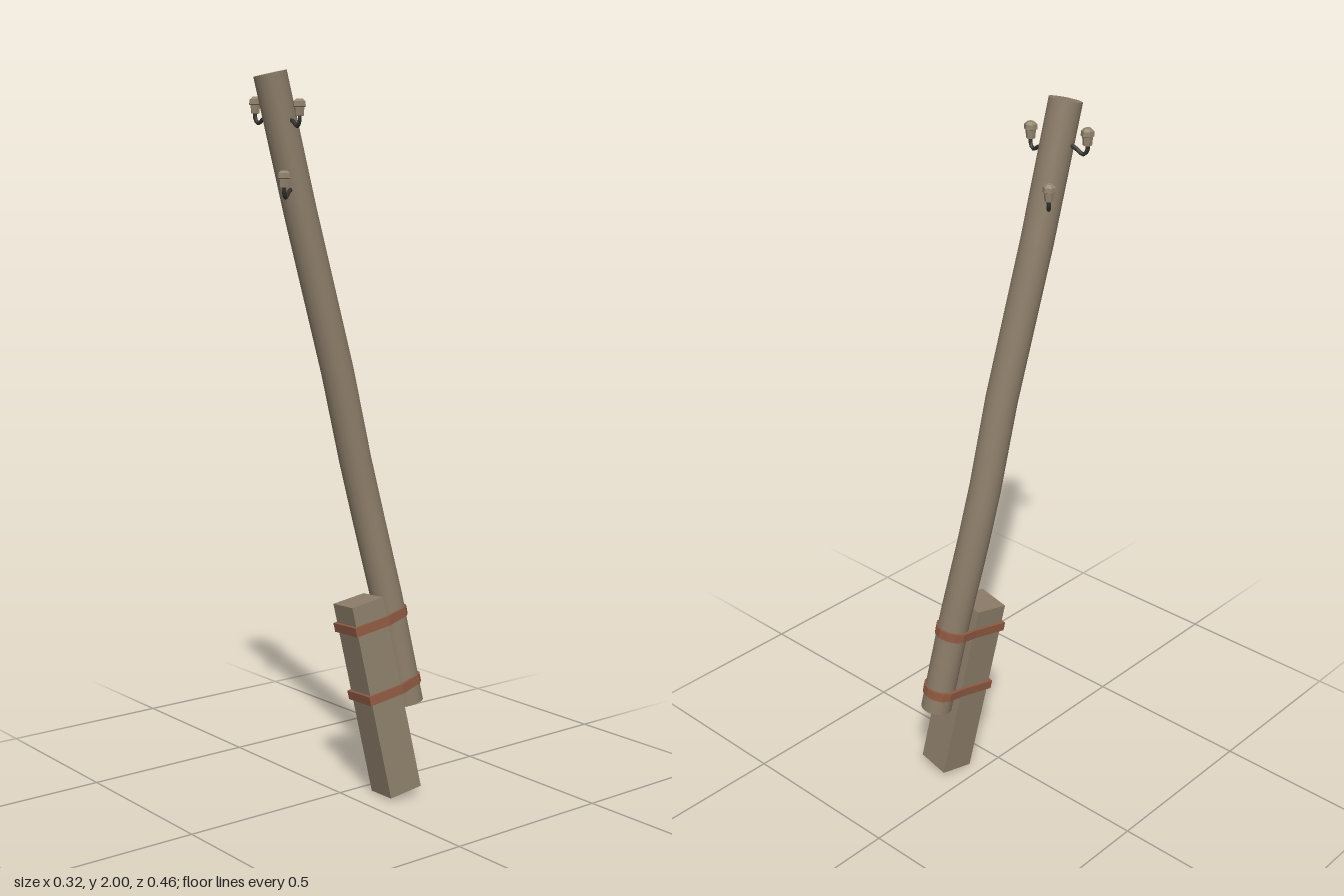
import * as THREE from 'three';

const mat = (name, color) => {
  const m = new THREE.MeshStandardMaterial({ color });
  m.name = name;
  return m;
};
const V = (x, y, z) => new THREE.Vector3(x, y, z);

// Leaning pole, bottom to top
const PATH = [
  V(0.075, 0.25, -0.185), V(0.04, 0.56, -0.134), V(0.012, 0.78, -0.092), V(-0.002, 0.95, -0.055),
  V(-0.012, 1.2, 0), V(-0.045, 1.63, 0.1), V(-0.062, 1.99, 0.185),
];
const POLE_R = 0.044;

// Cylinder whose rings follow the path, each ring square to the local direction
function poleGeometry() {
  const n = PATH.length - 1;
  const geo = new THREE.CylinderGeometry(POLE_R, POLE_R, 1, 18, n);
  const pos = geo.attributes.position, nor = geo.attributes.normal;
  for (let i = 0; i < pos.count; i++) {
    const k = Math.round((pos.getY(i) + 0.5) * n);
    const t = PATH[Math.min(k + 1, n)].clone().sub(PATH[Math.max(k - 1, 0)]).normalize();
    const o = V(pos.getX(i), 0, pos.getZ(i));
    o.y = -(o.x * t.x + o.z * t.z) / t.y;
    const p = PATH[k].clone().add(o);
    pos.setXYZ(i, p.x, p.y, p.z);
    const cap = nor.getY(i);
    const d = Math.abs(cap) > 0.5 ? t.multiplyScalar(cap) : o.normalize();
    nor.setXYZ(i, d.x, d.y, d.z);
  }
  return geo;
}

// Strap outline wrapping the square post and the back of the pole
function strapPoints(half, gap) {
  const h = half + gap, r = POLE_R + gap;
  const pts = [new THREE.Vector2(-h, -half), new THREE.Vector2(-h, h), new THREE.Vector2(h, h), new THREE.Vector2(h, -half)];
  for (let i = 0; i <= 6; i++) {
    const a = -0.1 - (i / 6) * (Math.PI - 0.2);
    pts.push(new THREE.Vector2(-0.013 + r * Math.cos(a), -0.097 + r * Math.sin(a)));
  }
  return pts;
}

export function createModel() {
  const model = new THREE.Group();
  const wood = mat('weathered wood', 0x8c7d69);
  const rust = mat('rusty strap', 0x8f5a43);
  const iron = mat('dark iron', 0x35332e);
  const clay = mat('insulator ceramic', 0x94866f);
  const add = (parent, name, geo, material) => {
    const m = new THREE.Mesh(geo, material);
    m.name = name;
    parent.add(m);
    return m;
  };

  add(model, 'pole', poleGeometry(), wood);

  // Square ground post with two straps, tilted along the pole
  const foot = V(0.0985, 0.013, -0.125), head = V(0.038, 0.56, -0.034);
  const axis = head.clone().sub(foot);
  const length = axis.length(), half = 0.051;
  const base = new THREE.Group();
  base.name = 'groundPost';
  base.position.copy(foot);
  base.quaternion.setFromUnitVectors(V(0, 1, 0), axis.normalize())
    .multiply(new THREE.Quaternion().setFromAxisAngle(V(0, 1, 0), -0.12));
  model.add(base);
  add(base, 'post', new THREE.BoxGeometry(half * 2, length, half * 2).translate(0, length / 2, 0), wood);

  for (const y of [0.29, 0.49]) {
    const shape = new THREE.Shape(strapPoints(half, 0.008));
    shape.holes.push(new THREE.Path(strapPoints(half, -0.001)));
    const geo = new THREE.ExtrudeGeometry(shape, { depth: 0.026, bevelEnabled: false });
    geo.rotateX(Math.PI / 2).translate(0, y + 0.013, 0);
    add(base, 'strap', geo, rust);
  }

  // Insulators: hooked iron pin leaving the pole, with a small faceted cup on top
  const cupProfile = [[0, -0.02], [0.012, -0.02], [0.014, 0.002], [0.018, 0.004], [0.017, 0.017], [0.009, 0.024], [0, 0.024]]
    .map(([x, y]) => new THREE.Vector2(x, y));
  const cupGeo = new THREE.LatheGeometry(cupProfile, 6).toNonIndexed();
  cupGeo.computeVertexNormals();
  const pins = [
    [V(-0.09, 1.885, 0.165), V(-0.145, 1.91, 0.174)],
    [V(-0.025, 1.872, 0.15), V(0.033, 1.897, 0.16)],
    [V(-0.075, 1.762, 0.105), V(-0.111, 1.782, 0.069)],
    [V(-0.025, 1.69, 0.145), V(0.01, 1.713, 0.194)],
  ];
  for (const [root, cup] of pins) {
    const g = new THREE.Group();
    g.name = 'insulator';
    model.add(g);
    const elbow = V(cup.x, cup.y - 0.046, cup.z);
    const curve = new THREE.CatmullRomCurve3([
      root,
      root.clone().lerp(elbow, 0.4),
      root.clone().lerp(elbow, 0.8).setY(elbow.y),
      V(cup.x, cup.y - 0.034, cup.z),
      cup,
    ]);
    add(g, 'hook', new THREE.TubeGeometry(curve, 10, 0.0055, 6), iron);
    add(g, 'cup', cupGeo, clay).position.copy(cup);
  }
  return model;
}
